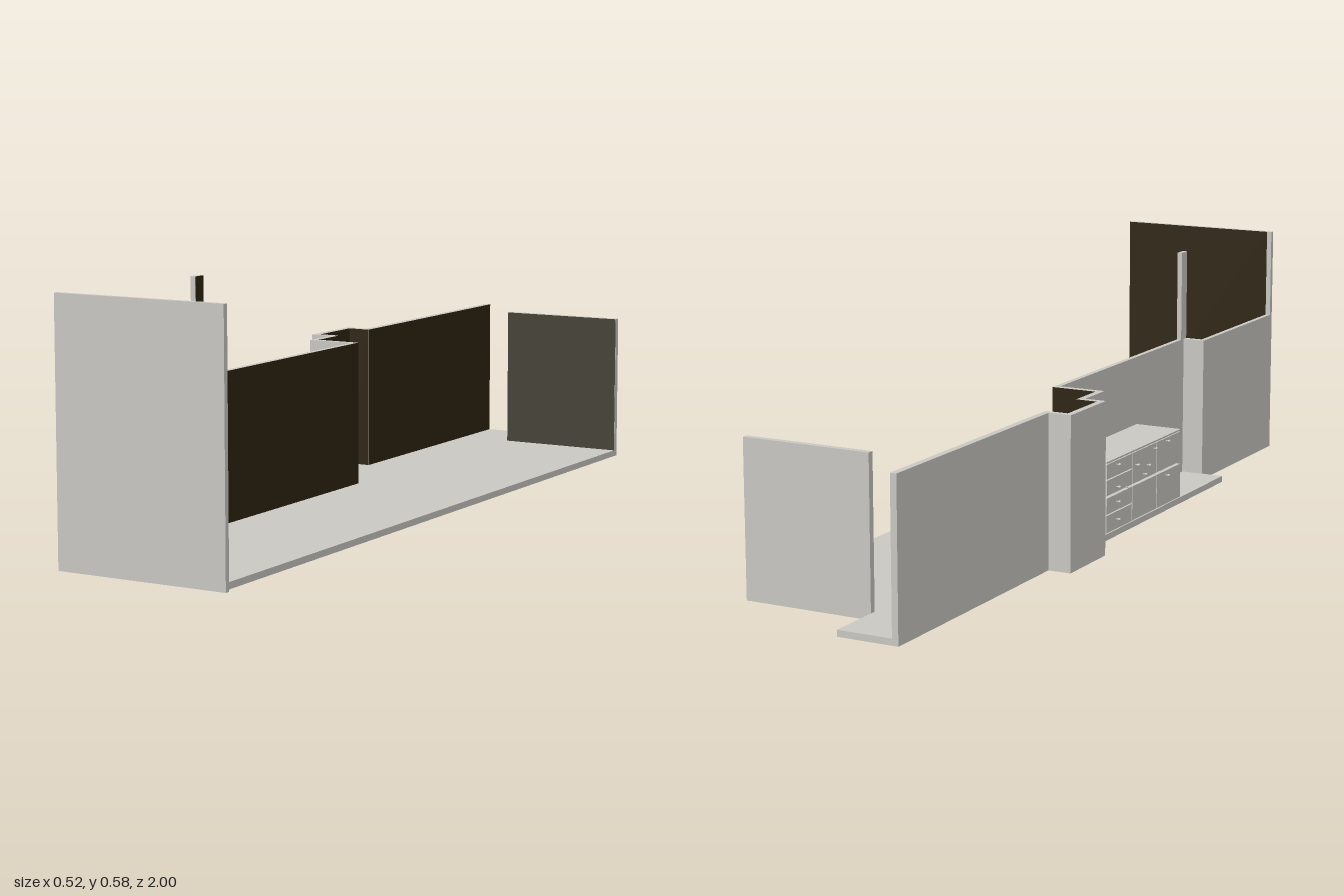
import * as THREE from 'three';

export function createModel() {
  const group = new THREE.Group();
  const plaster = new THREE.MeshStandardMaterial({ name: 'warm grey plaster', color: 0xc9c7c2 });
  const brown = new THREE.MeshStandardMaterial({ name: 'dark brown lining', color: 0x2d2310 });
  const olive = new THREE.MeshStandardMaterial({ name: 'dark olive lining', color: 0x433f34 });

  const add = (name, geometry, material, parent = group) => {
    const mesh = new THREE.Mesh(geometry, material);
    mesh.name = name;
    parent.add(mesh);
    return mesh;
  };
  // Box given by its limits on each axis
  const box = (name, x0, x1, y0, y1, z0, z1, parent = group) => {
    const g = new THREE.BoxGeometry(x1 - x0, y1 - y0, z1 - z0);
    g.translate((x0 + x1) / 2, (y0 + y1) / 2, (z0 + z1) / 2);
    return add(name, g, plaster, parent);
  };
  // Plan outline of [x, z] points raised from y0 to y1
  const slab = (name, points, y0, y1) => {
    const shape = new THREE.Shape(points.map(([x, z]) => new THREE.Vector2(x, -z)));
    const g = new THREE.ExtrudeGeometry(shape, { depth: y1 - y0, bevelEnabled: false });
    g.rotateX(-Math.PI / 2);
    g.translate(0, y0, 0);
    return add(name, g, plaster);
  };
  // Painted inner face on the segment a-b, facing into the room
  const lining = (name, a, b, y0, y1, material) => {
    const dx = b[0] - a[0], dz = b[1] - a[1], len = Math.hypot(dx, dz);
    const m = add(name, new THREE.PlaneGeometry(len, y1 - y0), material);
    m.rotation.y = Math.atan2(dz, -dx);
    m.position.set((a[0] + b[0]) / 2 + dz / len * 0.001, (y0 + y1) / 2, (a[1] + b[1]) / 2 - dx / len * 0.001);
  };

  const floorTop = 0.015, low = 0.357, high = 0.577;

  // Stepped side wall, followed from the back to the front
  const outer = [[-0.205, -1], [-0.205, -0.36], [-0.26, -0.36], [-0.26, -0.19], [-0.208, -0.19],
    [-0.208, -0.095], [-0.095, -0.095], [-0.095, 0.57], [-0.15, 0.57], [-0.15, 0.988]];
  const inner = [[-0.19, -1], [-0.19, -0.345], [-0.245, -0.345], [-0.245, -0.205], [-0.193, -0.205],
    [-0.193, -0.11], [-0.083, -0.11], [-0.083, 0.585], [-0.138, 0.585], [-0.138, 0.988]];
  slab('floor', [...outer, [0.25, 0.988], [0.25, -0.87], [-0.06, -0.87], [-0.06, -1]], 0, floorTop);
  slab('sideWall', [...outer, ...inner.slice().reverse()], floorTop, low);
  for (let i = 0; i < inner.length - 1; i++) {
    lining('sideWallLining', inner[i], inner[i + 1], floorTop, low, brown);
  }

  // End walls
  box('frontWall', -0.15, 0.262, 0, high, 0.988, 1);
  lining('frontWallLining', [-0.138, 0.988], [0.262, 0.988], floorTop, high, brown);
  box('backWall', -0.06, 0.25, floorTop, low, -0.87, -0.855);
  lining('backWallLining', [0.25, -0.855], [-0.06, -0.855], floorTop, low, olive);

  // Slim post above the side wall
  box('post', -0.095, -0.083, low, high, 0.555, 0.585);
  lining('postLining', [-0.083, 0.555], [-0.083, 0.585], low, high, brown);

  // Outside ledge
  box('ledge', -0.205, -0.095, 0, floorTop, -0.095, 0.572);

  // Cabinet with drawer fronts and knobs
  const cabinet = new THREE.Group();
  cabinet.name = 'cabinet';
  group.add(cabinet);
  box('cabinetBody', -0.2, -0.095, floorTop, 0.188, -0.09, 0.305, cabinet);
  box('cabinetTop', -0.213, -0.095, 0.186, 0.19, -0.09, 0.305, cabinet);
  const fourRows = [[0.022, 0.063], [0.066, 0.104], [0.11, 0.146], [0.149, 0.184]];
  const twoRows = [[0.022, 0.104], [0.11, 0.184]];
  const columns = [[-0.09, 0.04, fourRows], [0.043, 0.172, twoRows], [0.175, 0.305, twoRows]];
  for (const [z0, z1, rows] of columns) {
    for (const [y0, y1] of rows) box('drawerFront', -0.213, -0.2, y0, y1, z0, z1, cabinet);
  }
  const knobs = [[-0.04, 0.175], [-0.04, 0.122], [-0.04, 0.087], [-0.04, 0.045], [0.01, 0.11], [0.06, 0.153],
    [0.1, 0.122], [0.12, 0.14], [0.155, 0.173], [0.225, 0.177], [0.225, 0.093]];
  for (const [z, y] of knobs) {
    const stem = add('knobStem', new THREE.CylinderGeometry(0.0015, 0.0015, 0.008, 8), plaster, cabinet);
    stem.rotation.z = Math.PI / 2;
    stem.position.set(-0.217, y, z);
    add('knob', new THREE.SphereGeometry(0.0035, 10, 8), plaster, cabinet).position.set(-0.221, y, z);
  }
  return group;
}
